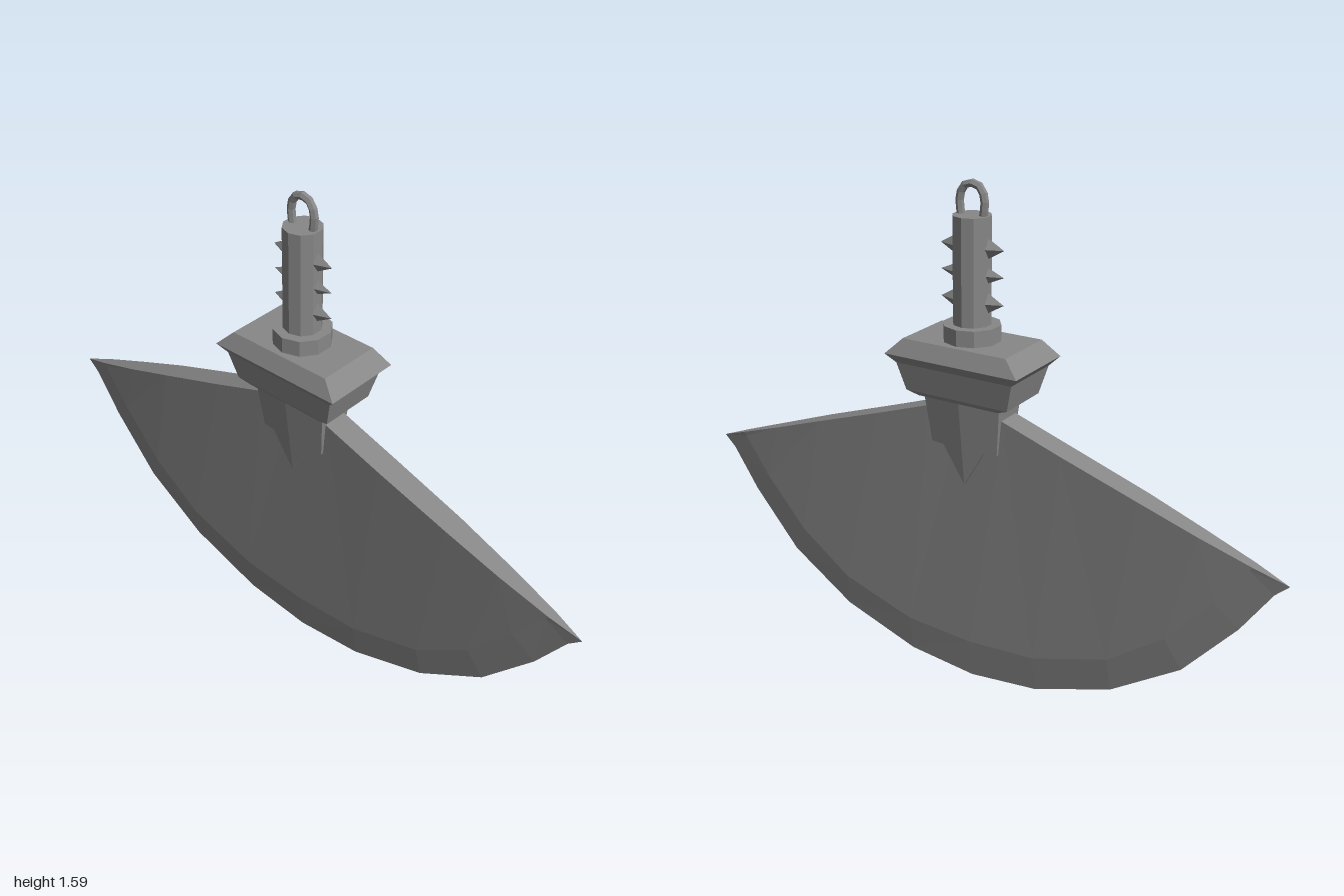
import * as THREE from 'three';

const steel = new THREE.MeshStandardMaterial({ color: 0x888787, flatShading: true });
steel.name = 'steel grey';

function add(group, name, geometry) {
  const mesh = new THREE.Mesh(geometry, steel);
  mesh.name = name;
  group.add(mesh);
  return mesh;
}

function fromTriangles(positions) {
  const g = new THREE.BufferGeometry();
  g.setAttribute('position', new THREE.Float32BufferAttribute(positions, 3));
  g.computeVertexNormals();
  return g;
}

// Pushes a quad a-b-c-d (counter-clockwise from outside) as two triangles.
function quad(out, a, b, c, d) {
  out.push(...a, ...b, ...c, ...a, ...c, ...d);
}

// Crescent blade: columns of top edge, bevel line and cutting edge, mirrored in x and z.
function bladeGeometry() {
  const top = [[0, 0.96, 0.04], [0.13, 0.92, 0.04], [0.32, 0.855, 0.04], [0.56, 0.775, 0.037],
    [0.74, 0.712, 0.029], [0.9, 0.657, 0.016], [1, 0.622, 0]];
  const bevel = [[0, 0.135, 0.017], [0.23, 0.15, 0.017], [0.48, 0.23, 0.017], [0.66, 0.36, 0.017],
    [0.8, 0.52, 0.017], [0.89, 0.645, 0.015], [1, 0.622, 0]];
  const edge = [[0, 0.005, 0], [0.23, 0.03, 0], [0.49, 0.12, 0], [0.71, 0.265, 0],
    [0.87, 0.45, 0], [0.96, 0.585, 0], [1, 0.622, 0]];
  const out = [];
  for (const sx of [1, -1]) {
    for (const sz of [1, -1]) {
      const p = (v) => [v[0] * sx, v[1], v[2] * sz];
      const mid = (v) => [v[0] * sx, v[1], 0];
      const face = (a, b, c, d) => (sx * sz > 0 ? quad(out, a, b, c, d) : quad(out, d, c, b, a));
      for (let i = 0; i < 6; i++) {
        face(p(bevel[i]), p(bevel[i + 1]), p(top[i + 1]), p(top[i]));
        face(p(edge[i]), p(edge[i + 1]), p(bevel[i + 1]), p(bevel[i]));
        face(p(top[i]), p(top[i + 1]), mid(top[i + 1]), mid(top[i]));
      }
    }
  }
  return fromTriangles(out);
}

// Rectangular block lofted through [y, halfX, halfZ] levels.
function loftedBlock(levels) {
  const rings = levels.map(([y, x, z]) => [[-x, y, z], [x, y, z], [x, y, -z], [-x, y, -z]]);
  const out = [];
  for (let i = 0; i < rings.length - 1; i++) {
    for (let k = 0; k < 4; k++) {
      const n = (k + 1) % 4;
      quad(out, rings[i][k], rings[i][n], rings[i + 1][n], rings[i + 1][k]);
    }
  }
  const [a, b, c, d] = rings[0];
  quad(out, d, c, b, a);
  quad(out, ...rings[rings.length - 1]);
  return fromTriangles(out);
}

// Half of the pointed socket, thickest at the centre ridge and thinning downward.
function socketHalf(side) {
  const pts = [[0, 0.975], [0, 0.695], [0.07, 0.812], [0.113, 0.812], [0.13, 0.975]];
  const shape = new THREE.Shape(pts.map(([x, y]) => new THREE.Vector2(x * side, y)));
  const g = new THREE.ExtrudeGeometry(shape, { depth: 1, bevelEnabled: false });
  const pos = g.attributes.position;
  for (let i = 0; i < pos.count; i++) {
    const half = 0.045 + (pos.getY(i) - 0.695) * 0.115 - Math.abs(pos.getX(i)) * 0.12;
    pos.setZ(i, pos.getZ(i) > 0.5 ? half : -half);
  }
  g.computeVertexNormals();
  return g;
}

export function createModel() {
  const model = new THREE.Group();
  model.name = 'crescentBlade';

  add(model, 'blade', bladeGeometry());
  add(model, 'socketLeft', socketHalf(1));
  add(model, 'socketRight', socketHalf(-1));

  // Stepped guard
  add(model, 'guard', loftedBlock([
    [0.963, 0.135, 0.08], [0.977, 0.172, 0.09], [1.062, 0.195, 0.106],
    [1.09, 0.222, 0.126], [1.138, 0.173, 0.102],
  ]));

  // Collar and grip
  add(model, 'collar', new THREE.CylinderGeometry(0.086, 0.086, 0.055, 10)).position.y = 1.159;
  add(model, 'grip', new THREE.CylinderGeometry(0.057, 0.057, 0.32, 10)).position.y = 1.34;

  // Studs on both sides of the grip
  for (const [y, width, height] of [[1.41, 0.022, 0.034], [1.333, 0.018, 0.026], [1.253, 0.022, 0.034]]) {
    for (const side of [1, -1]) {
      const cone = new THREE.ConeGeometry(1, 0.06, 4);
      cone.scale(height, 1, width);
      cone.rotateZ(-side * Math.PI / 2);
      add(model, 'stud', cone).position.set(side * 0.075, y, 0);
    }
  }

  // Hanging loop
  const loop = new THREE.CatmullRomCurve3([
    [-0.035, 1.49], [-0.041, 1.54], [-0.028, 1.577], [0, 1.588],
    [0.028, 1.577], [0.041, 1.54], [0.035, 1.49],
  ].map(([x, y]) => new THREE.Vector3(x, y, 0)));
  add(model, 'hangingLoop', new THREE.TubeGeometry(loop, 10, 0.012, 6));

  return model;
}
